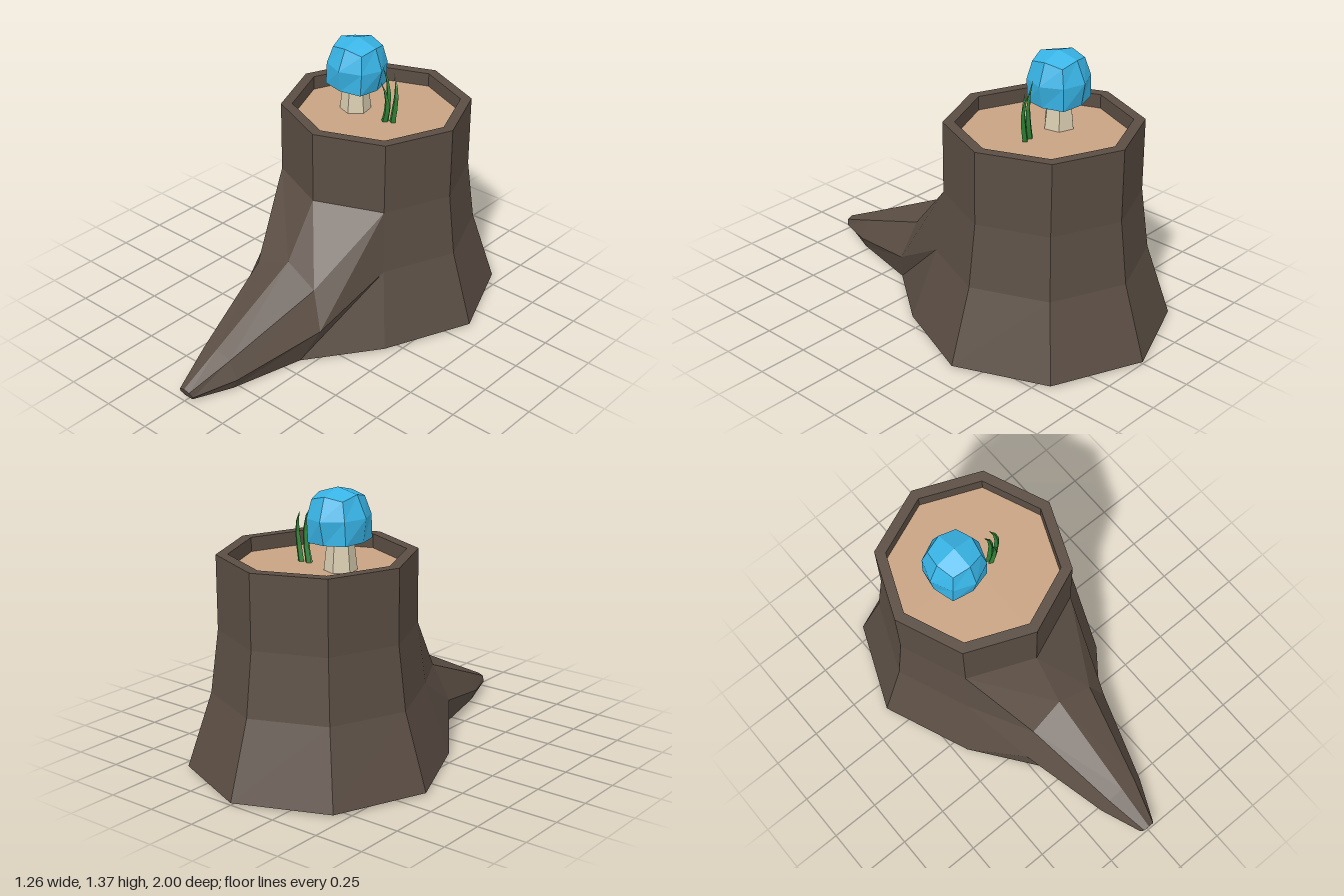
import * as THREE from 'three';

const mat = (color) => new THREE.MeshStandardMaterial({ color, flatShading: true });
const CZ = -0.37; // trunk axis in z

// Flat-shaded geometry from a list of four-cornered faces
function quadGeometry(quads) {
  const pos = [];
  for (const [a, b, c, d] of quads) {
    for (const tri of [[a, b, c], [a, c, d]]) {
      const [p, q, r] = tri.map((v) => new THREE.Vector3(...v));
      if (q.sub(p).cross(r.sub(p)).length() > 1e-8) pos.push(...tri.flat());
    }
  }
  const g = new THREE.BufferGeometry();
  g.setAttribute('position', new THREE.Float32BufferAttribute(pos, 3));
  g.computeVertexNormals();
  return g;
}

// Octagon corner; index 0 points to the front
function corner(i, r, y) {
  const a = (i * Math.PI) / 4;
  return [Math.sin(a) * r, y, CZ + Math.cos(a) * r];
}

const mirror = ([x, y, z]) => [-x, y, z];

function trunkGeometry() {
  const quads = [];
  // Bark wall and hollow rim; below the rim band the front is left to the root
  const rings = [[0.63, 0.01], [0.51, 0.38], [0.47, 0.69], [0.47, 1.05], [0.415, 1.05], [0.415, 0.98]];
  for (let k = 0; k < rings.length - 1; k++) {
    const [r0, y0] = rings[k], [r1, y1] = rings[k + 1];
    for (let i = 0; i < 8; i++) {
      if (k < 2 && (i === 0 || i === 7)) continue;
      quads.push([corner(i, r0, y0), corner(i + 1, r0, y0), corner(i + 1, r1, y1), corner(i, r1, y1)]);
    }
  }

  // Root: half sections from ridge to ground, running from trunk to tip
  const root = [
    [corner(0, 0.47, 0.69), corner(1, 0.47, 0.69), corner(1, 0.51, 0.38), corner(1, 0.63, 0.01)],
    [[0, 0.425, 0.28], [0.185, 0.35, 0.3], [0.26, 0.165, 0.34], [0.19, 0, 0.41]],
    [[0, 0.175, 0.78], [0.085, 0.15, 0.78], [0.13, 0.06, 0.78], [0.1, 0, 0.78]],
    [[0, 0.067, 1], [0.03, 0.057, 0.997], [0.042, 0.03, 0.985], [0.022, 0.003, 0.97]],
  ];
  for (let k = 0; k < 3; k++) {
    for (let j = 0; j < 3; j++) {
      const q = [root[k][j], root[k + 1][j], root[k + 1][j + 1], root[k][j + 1]];
      quads.push(q, q.map(mirror).reverse());
    }
  }
  // Blunt root tip
  const tip = root[3];
  for (let j = 0; j < 3; j++) quads.push([mirror(tip[j]), mirror(tip[j + 1]), tip[j + 1], tip[j]]);

  // Underside, in strips from back to tip
  const base = [4, 3, 2].map((i) => corner(i, 0.63, 0.01)).concat(root.map((s) => s[3]));
  for (let i = 0; i < base.length - 1; i++) {
    quads.push([mirror(base[i]), base[i], base[i + 1], mirror(base[i + 1])]);
  }
  return quadGeometry(quads);
}

// Faceted cap: a box rounded to a ball, with a flatter, wider lower edge
function capGeometry() {
  const g = new THREE.BoxGeometry(1, 1, 1, 2, 2, 2);
  const p = g.attributes.position, v = new THREE.Vector3();
  for (let i = 0; i < p.count; i++) {
    v.fromBufferAttribute(p, i).normalize().multiplyScalar(0.15);
    if (v.y < -0.05) v.set(v.x * 1.22, -0.113, v.z * 1.22);
    if (v.y > 0.14) v.y = 0.135;
    p.setXYZ(i, v.x, v.y, v.z);
  }
  g.computeVertexNormals();
  return g;
}

// Grass blade: four-sided sections tapering to a point along a bent path
function bladeGeometry(points, width) {
  const curve = new THREE.CatmullRomCurve3(points.map((p) => new THREE.Vector3(...p)));
  const n = 4, quads = [];
  const at = (k, i) => {
    const c = curve.getPoint(k / n), a = (i * Math.PI) / 2;
    const w = width * (1 - (k / n) ** 2);
    return [c.x + Math.sin(a) * w, c.y, c.z + Math.cos(a) * w * 0.7];
  };
  for (let k = 0; k < n; k++) {
    for (let i = 0; i < 4; i++) quads.push([at(k, i), at(k, i + 1), at(k + 1, i + 1), at(k + 1, i)]);
  }
  return quadGeometry(quads);
}

export function createModel() {
  const model = new THREE.Group();
  const add = (name, geometry, material, parent = model) => {
    const mesh = new THREE.Mesh(geometry, material);
    mesh.name = name;
    parent.add(mesh);
    return mesh;
  };

  add('trunkWithRoot', trunkGeometry(), mat(0x5b4e44));

  // Cut wood inside the rim
  const wood = add('cutWood', new THREE.CircleGeometry(0.415, 8), mat(0xc8a382));
  wood.rotation.x = -Math.PI / 2;
  wood.position.set(0, 0.98, CZ);

  // Mushroom
  const mushroom = new THREE.Group();
  mushroom.name = 'mushroom';
  mushroom.position.set(-0.115, 0.98, -0.355);
  model.add(mushroom);
  const stem = add('mushroomStem', new THREE.CylinderGeometry(0.06, 0.078, 0.16, 6), mat(0xd8ccb0), mushroom);
  stem.position.set(-0.008, 0.08, 0);
  stem.rotation.y = 0.2;
  const cap = add('mushroomCap', capGeometry(), mat(0x38b4e6), mushroom);
  cap.position.y = 0.252;
  cap.rotation.set(0, 0.06, -0.05);

  // Grass tuft
  const grass = new THREE.Group();
  grass.name = 'grassTuft';
  model.add(grass);
  const green = mat(0x2e8034);
  const blades = [
    [[0.075, 0.98, -0.35], [0.09, 1.08, -0.35], [0.088, 1.18, -0.35], [0.053, 1.265, -0.345]],
    [[0.115, 0.98, -0.355], [0.13, 1.08, -0.355], [0.132, 1.16, -0.36], [0.102, 1.23, -0.375]],
    [[0.08, 0.98, -0.335], [0.1, 1.06, -0.33], [0.096, 1.13, -0.325], [0.07, 1.2, -0.312]],
  ];
  for (const points of blades) add('grassBlade', bladeGeometry(points, 0.018), green, grass);

  return model;
}
